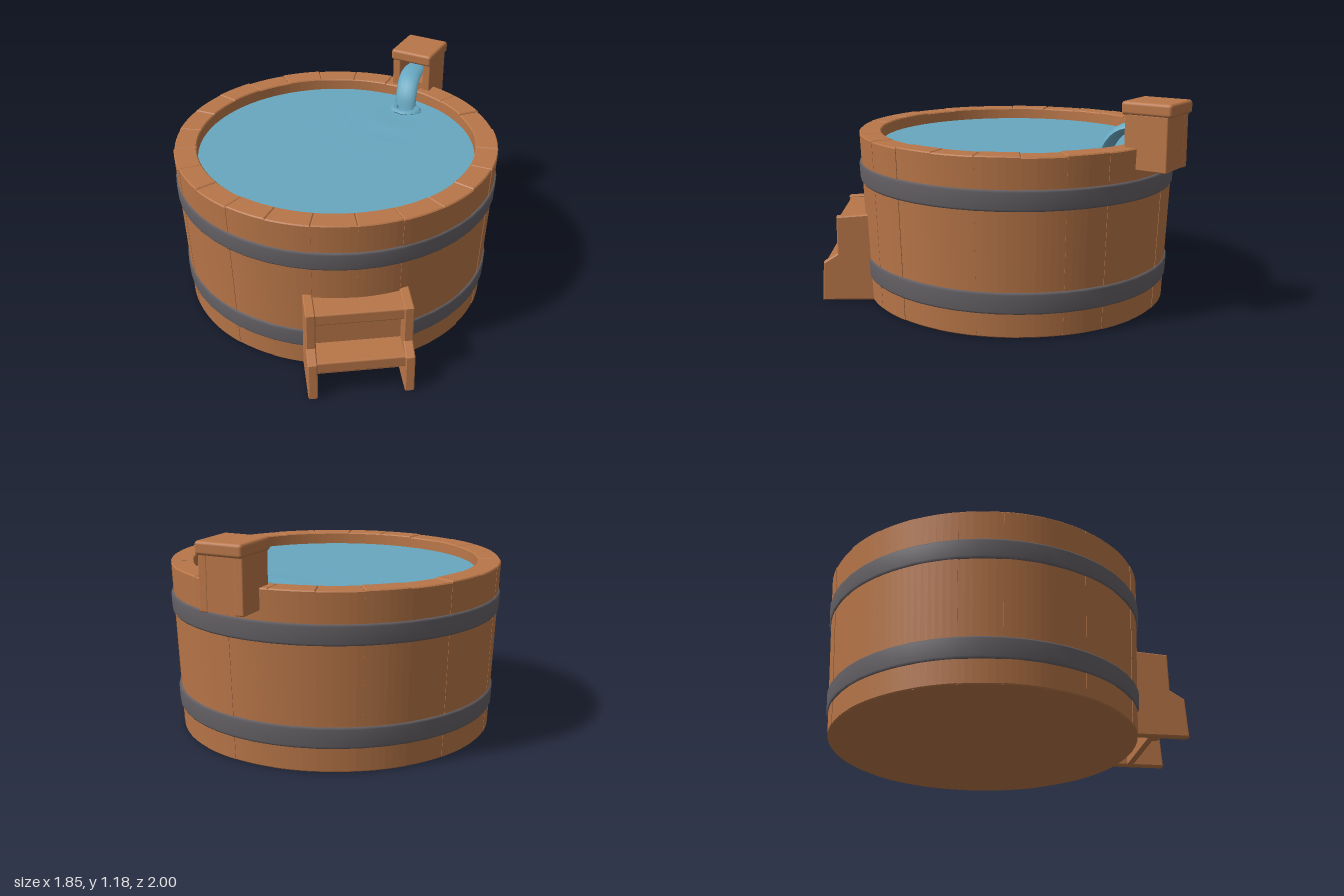
import * as THREE from 'three';
import { mergeGeometries } from 'three/addons/utils/BufferGeometryUtils.js';
import { RoundedBoxGeometry } from 'three/addons/geometries/RoundedBoxGeometry.js';

const wood = new THREE.MeshStandardMaterial({ color: 0xb87648 });
const metal = new THREE.MeshStandardMaterial({ color: 0x656166 });
const water = new THREE.MeshStandardMaterial({ color: 0x67a7c0 });
wood.name = 'wood';
metal.name = 'metal';
water.name = 'water';

const HEIGHT = 0.95;
const wallRadius = (y) => 0.88 + 0.042 * (y / HEIGHT);

let seed = 7;
const random = () => {
  seed = (seed * 16807) % 2147483647;
  return seed / 2147483647;
};

function addMesh(parent, name, geometry, material, x = 0, y = 0, z = 0) {
  const mesh = new THREE.Mesh(geometry, material);
  mesh.name = name;
  mesh.position.set(x, y, z);
  parent.add(mesh);
  return mesh;
}

// One curved plank of the tub wall, narrowing towards the floor
function stave(start, end) {
  const outer = 0.919 + random() * 0.006;
  const top = HEIGHT - random() * 0.008;
  const shape = new THREE.Shape();
  shape.absarc(0, 0, outer, start, end, false);
  shape.absarc(0, 0, 0.795, end, start, true);
  const bevel = 0.006;
  const geometry = new THREE.ExtrudeGeometry(shape, {
    depth: top - 2 * bevel, curveSegments: 3, bevelSegments: 1,
    bevelThickness: bevel, bevelSize: bevel, bevelOffset: -bevel,
  });
  geometry.translate(0, 0, bevel).rotateX(-Math.PI / 2);
  const p = geometry.attributes.position;
  for (let i = 0; i < p.count; i++) {
    const k = wallRadius(p.getY(i)) / wallRadius(HEIGHT);
    p.setX(i, p.getX(i) * k);
    p.setZ(i, p.getZ(i) * k);
  }
  geometry.computeVertexNormals();
  return geometry;
}

// Metal hoop following the slope of the wall
function hoop(y0, y1) {
  const a = wallRadius(y0), b = wallRadius(y1), e = 0.012;
  const points = [
    [a - 0.03, y0], [a + 0.004, y0], [a + e, y0 + e],
    [b + e, y1 - e], [b + 0.004, y1], [b - 0.03, y1],
  ].map(([x, y]) => new THREE.Vector2(x, y));
  return new THREE.LatheGeometry(points, 48);
}

function createTub() {
  const tub = new THREE.Group();
  tub.name = 'tub';
  const count = 24, staves = [];
  for (let i = 0; i < count; i++) {
    staves.push(stave((i / count) * Math.PI * 2, ((i + 1) / count) * Math.PI * 2));
  }
  addMesh(tub, 'wallStaves', mergeGeometries(staves), wood);
  addMesh(tub, 'floor', new THREE.CylinderGeometry(0.872, 0.872, 0.05, 48), wood, 0, 0.026, 0);
  addMesh(tub, 'lowerHoop', hoop(0.13, 0.245), metal);
  addMesh(tub, 'upperHoop', hoop(0.67, 0.78), metal);

  // Water surface with faint ripples around the place where the stream lands
  const surface = new THREE.RingGeometry(0, 0.805, 48, 14).rotateX(-Math.PI / 2);
  const p = surface.attributes.position;
  for (let i = 0; i < p.count; i++) {
    const d = Math.hypot(p.getX(i) - 0.5, p.getZ(i) + 0.4);
    p.setY(i, 0.008 * Math.cos(d * 28) * Math.exp(-d * 6));
  }
  surface.computeVertexNormals();
  addMesh(tub, 'waterSurface', surface, water, 0, 0.88, 0);

  tub.scale.z = 0.972;
  tub.position.z = -0.1;
  return tub;
}

function createSteps() {
  const steps = new THREE.Group();
  steps.name = 'steps';
  // Stepped side boards
  const outline = [[0.7, 0], [1, 0], [0.99, 0.22], [0.91, 0.27], [0.91, 0.485], [0.7, 0.5]];
  const shape = new THREE.Shape(outline.map(([z, y]) => new THREE.Vector2(-z, y)));
  for (const side of [-1, 1]) {
    const board = new THREE.ExtrudeGeometry(shape, {
      depth: 0.04, bevelThickness: 0.006, bevelSize: 0.006, bevelOffset: -0.006, bevelSegments: 1,
    });
    board.translate(0, 0, -0.02).rotateY(Math.PI / 2);
    addMesh(steps, side < 0 ? 'rightSideBoard' : 'leftSideBoard', board, wood, side * 0.258, 0, 0);
  }
  // Treads and the board behind them
  addMesh(steps, 'upperTread', new RoundedBoxGeometry(0.5, 0.07, 0.2, 2, 0.01), wood, 0, 0.445, 0.8);
  addMesh(steps, 'lowerTread', new RoundedBoxGeometry(0.5, 0.07, 0.2, 2, 0.01), wood, 0, 0.19, 0.88);
  addMesh(steps, 'backBoard', new THREE.BoxGeometry(0.5, 0.43, 0.035), wood, 0, 0.218, 0.8);
  return steps;
}

function createSpout() {
  const spout = new THREE.Group();
  spout.name = 'spout';
  // Box with an open front
  for (const side of [-1, 1]) {
    addMesh(spout, side < 0 ? 'rightCheek' : 'leftCheek',
      new RoundedBoxGeometry(0.05, 0.29, 0.24, 2, 0.008), wood, side * 0.1, 0.975, 0);
  }
  addMesh(spout, 'back', new THREE.BoxGeometry(0.2, 0.28, 0.1), wood, 0, 0.975, -0.068);
  addMesh(spout, 'sill', new THREE.BoxGeometry(0.18, 0.15, 0.22), wood, 0, 0.907, 0);
  addMesh(spout, 'cap', new RoundedBoxGeometry(0.265, 0.07, 0.28, 3, 0.018), wood, 0, 1.147, 0);

  // Flattened arc of falling water
  const path = new THREE.CatmullRomCurve3([
    [0, 1.035, -0.02], [0, 1.04, 0.1], [0.006, 1.015, 0.19], [0.012, 0.95, 0.25], [0.016, 0.86, 0.28],
  ].map((v) => new THREE.Vector3(...v)));
  const stream = new THREE.TubeGeometry(path, 20, 0.028, 12);
  stream.scale(2.4, 1, 1);
  stream.computeVertexNormals();
  addMesh(spout, 'waterStream', stream, water);

  // Splash ring
  const splash = new THREE.TorusGeometry(0.065, 0.022, 6, 12).rotateX(Math.PI / 2);
  splash.scale(1.15, 0.7, 0.9);
  splash.computeVertexNormals();
  addMesh(spout, 'splash', splash, water, 0.05, 0.885, 0.3);

  spout.position.set(0.615, 0, -0.803);
  spout.rotation.y = -0.608;
  return spout;
}

export function createModel() {
  const model = new THREE.Group();
  model.name = 'hotTub';
  model.add(createTub(), createSteps(), createSpout());
  return model;
}
